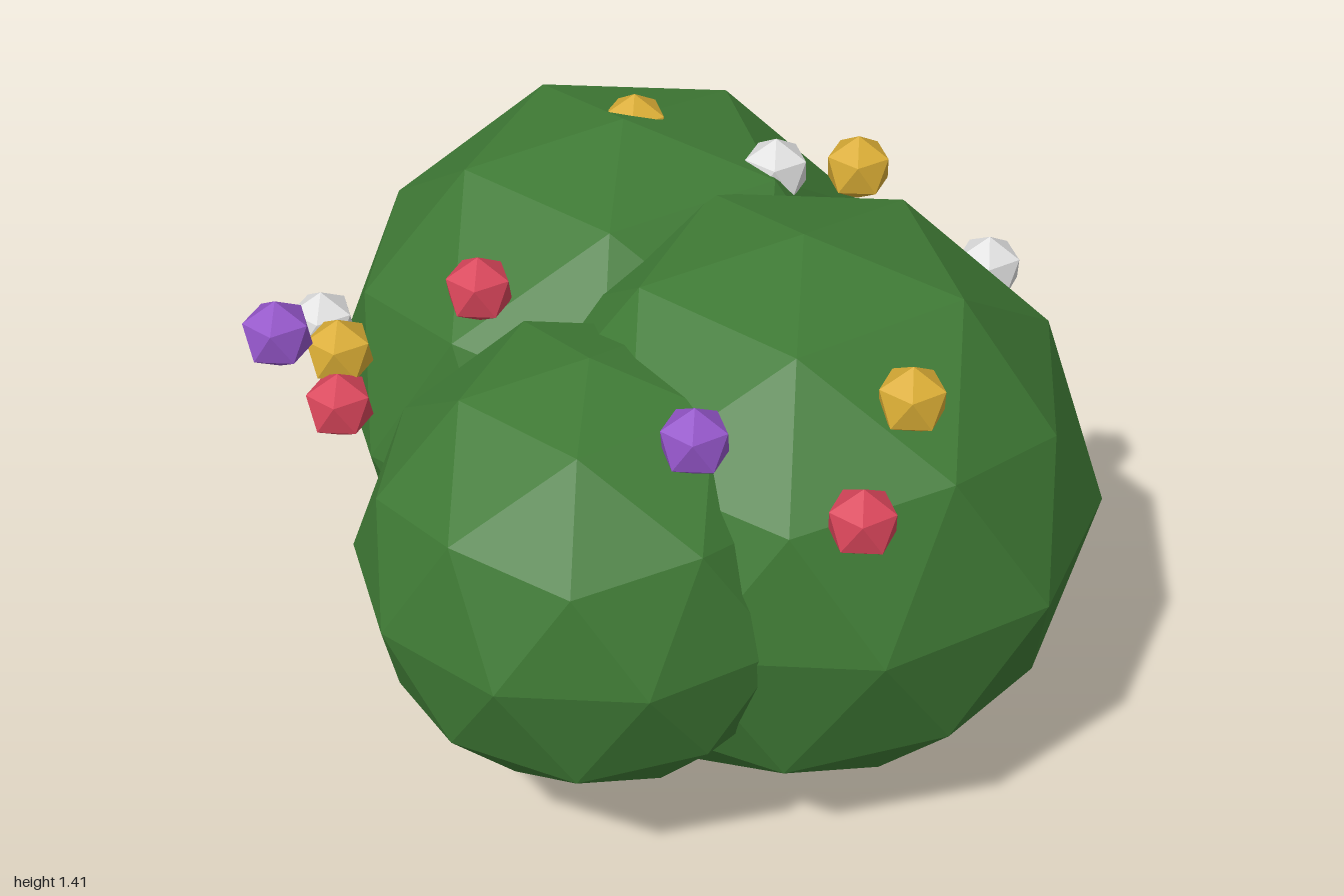
import * as THREE from 'three';

const TILT = -Math.atan(2 / (1 + Math.sqrt(5)));

// Icosphere with a corner pointing straight up and another towards upper +x
function ico(detail) {
  return new THREE.IcosahedronGeometry(1, detail).rotateZ(TILT);
}

// Slightly uneven leafy ball
function leafGeometry() {
  const geo = ico(1);
  const pos = geo.attributes.position;
  const v = new THREE.Vector3();
  for (let i = 0; i < pos.count; i++) {
    v.fromBufferAttribute(pos, i);
    let k = 1;
    if (Math.abs(v.y) > 0.99) k = 0.985;                              // poles
    else if (v.y > 0.8) k = 1.02;                                     // shoulders
    else if (v.x < -0.88 && v.y < -0.4 && v.y > -0.5) k = 1.075;      // bulge
    else if (v.x > 0.88 && v.y > 0.4 && v.y < 0.5) k = 0.97;          // dent
    else if (Math.abs(v.x) > 0.94 && Math.abs(v.y) < 0.01) k = 1.015; // sides
    v.multiplyScalar(k);
    pos.setXYZ(i, v.x, v.y, v.z);
  }
  geo.computeVertexNormals();
  return geo;
}

function material(name, color) {
  const m = new THREE.MeshStandardMaterial({ color, flatShading: true });
  m.name = name;
  return m;
}

export function createModel() {
  const model = new THREE.Group();
  model.name = 'floweringBush';

  const add = (name, geo, mat, radius, [x, y, z]) => {
    const mesh = new THREE.Mesh(geo, mat);
    mesh.name = name;
    mesh.scale.setScalar(radius);
    mesh.position.set(x, y, z);
    model.add(mesh);
  };

  // Three overlapping masses of leaves
  const leaf = leafGeometry();
  const green = material('leafGreen', 0x3f7a35);
  add('backFoliage', leaf, green, 0.705, [-0.285, 0.7, -0.29]);
  add('leftFoliage', leaf, green, 0.692, [0.28, 0.71, 0.035]);
  add('frontFoliage', leaf, green, 0.535, [-0.05, 0.72, 0.46]);

  // Faceted blossoms, grouped by colour
  const blossom = ico(0);
  const flowers = [
    ['purple', 0x9355c8, [[-0.72, 1.24, 0.615], [0.255, 1.21, 0.615]]],
    ['red', 0xd8455a, [[-0.42, 1.2, 0.23], [-0.66, 0.98, 0.475], [0.62, 1.085, 0.59]]],
    ['gold', 0xd9ac35, [[-0.7, 1.06, 0.385], [0.63, 1.22, 0.315], [-0.29, 1.335, -0.37], [0.225, 1.265, -0.495]]],
    ['white', 0xe0e0e0, [[-0.885, 0.94, 0.13], [0.065, 1.29, -0.37], [0.57, 1.1, -0.44]]],
  ];
  for (const [name, color, spots] of flowers) {
    const mat = material(name + 'Petal', color);
    spots.forEach((p, i) => add(`${name}Flower${i + 1}`, blossom, mat, 0.083, p));
  }
  return model;
}
